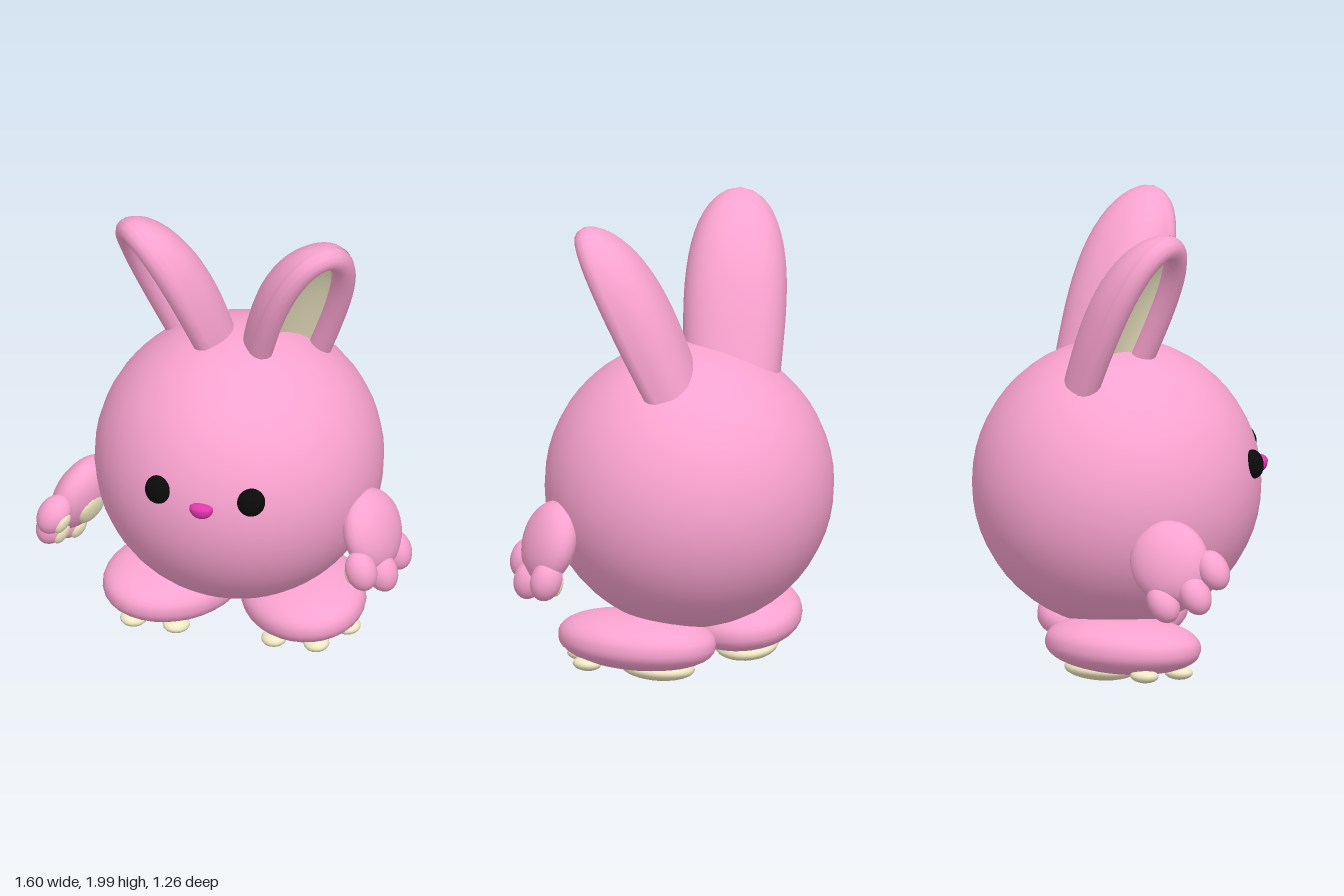
import * as THREE from 'three';

const mat = (color, side = THREE.FrontSide) => new THREE.MeshStandardMaterial({ color, side });
const pink = mat(0xfaa3d0);
const cream = mat(0xf0e9c4);
const black = mat(0x0a0a0a);
const magenta = mat(0xe038ac);
const pinkShell = mat(0xfaa3d0, THREE.DoubleSide);
const creamShell = mat(0xf0e9c4, THREE.DoubleSide);

function ball(name, material, pos, radii, seg = 24) {
  const mesh = new THREE.Mesh(new THREE.SphereGeometry(1, seg, Math.ceil(seg * 0.7)), material);
  mesh.name = name;
  mesh.position.set(...pos);
  mesh.scale.set(...radii);
  return mesh;
}

// Reshape a ball's unit heights by a rule
function reshapeY(mesh, rule) {
  const p = mesh.geometry.attributes.position;
  for (let i = 0; i < p.count; i++) p.setY(i, rule(p.getY(i)));
  mesh.geometry.computeVertexNormals();
  return mesh;
}

// Smooth surface from a function of two parameters, each 0..1
function sheet(name, material, rows, cols, fn) {
  const pos = [], idx = [];
  for (let i = 0; i <= rows; i++)
    for (let j = 0; j <= cols; j++) pos.push(...fn(i / rows, j / cols));
  for (let i = 0; i < rows; i++)
    for (let j = 0; j < cols; j++) {
      const a = i * (cols + 1) + j, b = a + cols + 1;
      idx.push(a, a + 1, b, a + 1, b + 1, b);
    }
  const geo = new THREE.BufferGeometry();
  geo.setAttribute('position', new THREE.Float32BufferAttribute(pos, 3));
  geo.setIndex(idx);
  geo.computeVertexNormals();
  const mesh = new THREE.Mesh(geo, material);
  mesh.name = name;
  return mesh;
}

// Scooped ear: convex back shell, thick rounded rim and cream hollow.
// Local x is the width, y the height, z the direction the ear faces.
function makeEar(name) {
  const ear = new THREE.Group();
  ear.name = name;
  const H = 0.75, r = 0.052;
  const taper = h => Math.sqrt(Math.max(0, 1 - h ** 3));
  const width = h => (0.2 + 0.065 * h) * taper(h);
  const depth = h => (0.17 + 0.09 * h) * taper(h);
  const rimZ = h => 0.135 + 0.335 * h - r;

  ear.add(sheet('earBack', pinkShell, 18, 20, (u, v) => {
    const h = Math.sin(u * Math.PI / 2), a = v * Math.PI, c = Math.cos(a);
    return [width(h) * Math.sign(c) * Math.abs(c) ** 0.85, h * H, rimZ(h) - depth(h) * Math.sin(a) ** 0.85];
  }));
  ear.add(sheet('earHollow', creamShell, 18, 14, (u, v) => {
    const h = Math.sin(u * Math.PI / 2), a = v * Math.PI;
    return [0.64 * width(h) * Math.cos(a), h * (H - 1.5 * r), rimZ(h) - 0.5 * depth(h) * Math.sin(a)];
  }));

  const path = [];
  for (let i = -10; i <= 10; i++) {
    const h = Math.cos(i / 10 * Math.PI / 2);
    path.push(new THREE.Vector3(Math.sign(i) * width(h) * (1 - r / 0.21), h * (H - r), rimZ(h)));
  }
  const rim = new THREE.Mesh(
    new THREE.TubeGeometry(new THREE.CatmullRomCurve3(path), 48, r, 12), pink);
  rim.name = 'earRim';
  ear.add(rim);
  return ear;
}

// Plump foot with sole pad and three toe pads, toes toward local +z
function makeFoot(name) {
  const foot = new THREE.Group();
  foot.name = name;
  const [rx, ry, rz] = [0.262, 0.12, 0.345];
  const body = ball('footBody', pink, [0, 0, 0], [rx, ry, rz], 32);
  foot.add(reshapeY(body, y => Math.sign(y) * Math.abs(y) ** 0.85));
  foot.add(ball('solePad', cream, [0, -0.11, -0.1], [0.135, 0.05, 0.16]));
  for (const [x, z] of [[-0.18, 0.16], [-0.02, 0.255], [0.14, 0.17]]) {
    const y = -ry * (1 - (x / rx) ** 2 - (z / rz) ** 2) ** 0.425;
    foot.add(ball('toePad', cream, [x, y - 0.012, z], [0.055, 0.03, 0.062], 16));
  }
  return foot;
}

// Arm with three fingers below and pads on the inner (-x) face
function makeArm(name) {
  const arm = new THREE.Group();
  arm.name = name;
  arm.add(ball('palm', pink, [0, 0, 0], [0.095, 0.18, 0.17]));
  arm.add(ball('palmPad', cream, [-0.075, -0.03, 0], [0.03, 0.08, 0.09], 16));
  for (const [x, y, z] of [[0, -0.12, 0.155], [0.015, -0.18, 0.04], [0.01, -0.145, -0.1]]) {
    arm.add(ball('finger', pink, [x, y, z], [0.068, 0.09, 0.066], 20));
    arm.add(ball('fingerPad', cream, [x - 0.055, y - 0.01, z], [0.022, 0.05, 0.04], 12));
  }
  return arm;
}

export function createModel() {
  const model = new THREE.Group();
  model.name = 'roundRabbit';
  model.add(ball('body', pink, [0.01, 0.815, -0.015], [0.615, 0.615, 0.615], 40));

  // Nose with a flattened top
  const nose = ball('nose', magenta, [0.007, 0.897, 0.592], [0.052, 0.048, 0.036], 20);
  model.add(reshapeY(nose, y => (y > 0 ? y * 0.5 : y)));

  for (const side of [1, -1]) {
    const label = side > 0 ? 'left' : 'right';
    const half = new THREE.Group();
    half.name = label + 'Side';
    half.scale.x = side;
    half.position.x = 0.01;

    const eye = ball(label + 'Eye', black, [0.205, 0.935, 0.55], [0.06, 0.062, 0.042]);
    eye.rotation.set(-0.2, 0.36, 0, 'YXZ');
    half.add(eye);

    const ear = makeEar(label + 'Ear');
    ear.position.set(0.125, 1.25, -0.135);
    ear.rotation.y = Math.PI / 4;
    half.add(ear);

    const foot = makeFoot(label + 'Foot');
    foot.position.set(0.283, 0.175, -0.01);
    foot.rotation.set(-0.01, 0.52, 0.1, 'YXZ');
    half.add(foot);

    // The right hand swings forward with its palm turned to the front
    const arm = makeArm(label + 'Arm');
    if (side > 0) {
      arm.position.set(0.63, 0.64, 0.155);
      arm.rotation.set(0, -0.28, 0.33, 'YZX');
    } else {
      arm.position.set(0.645, 0.63, 0.16);
      arm.rotation.set(-0.55, 0.35, 0.33, 'YZX');
    }
    half.add(arm);

    model.add(half);
  }
  return model;
}
